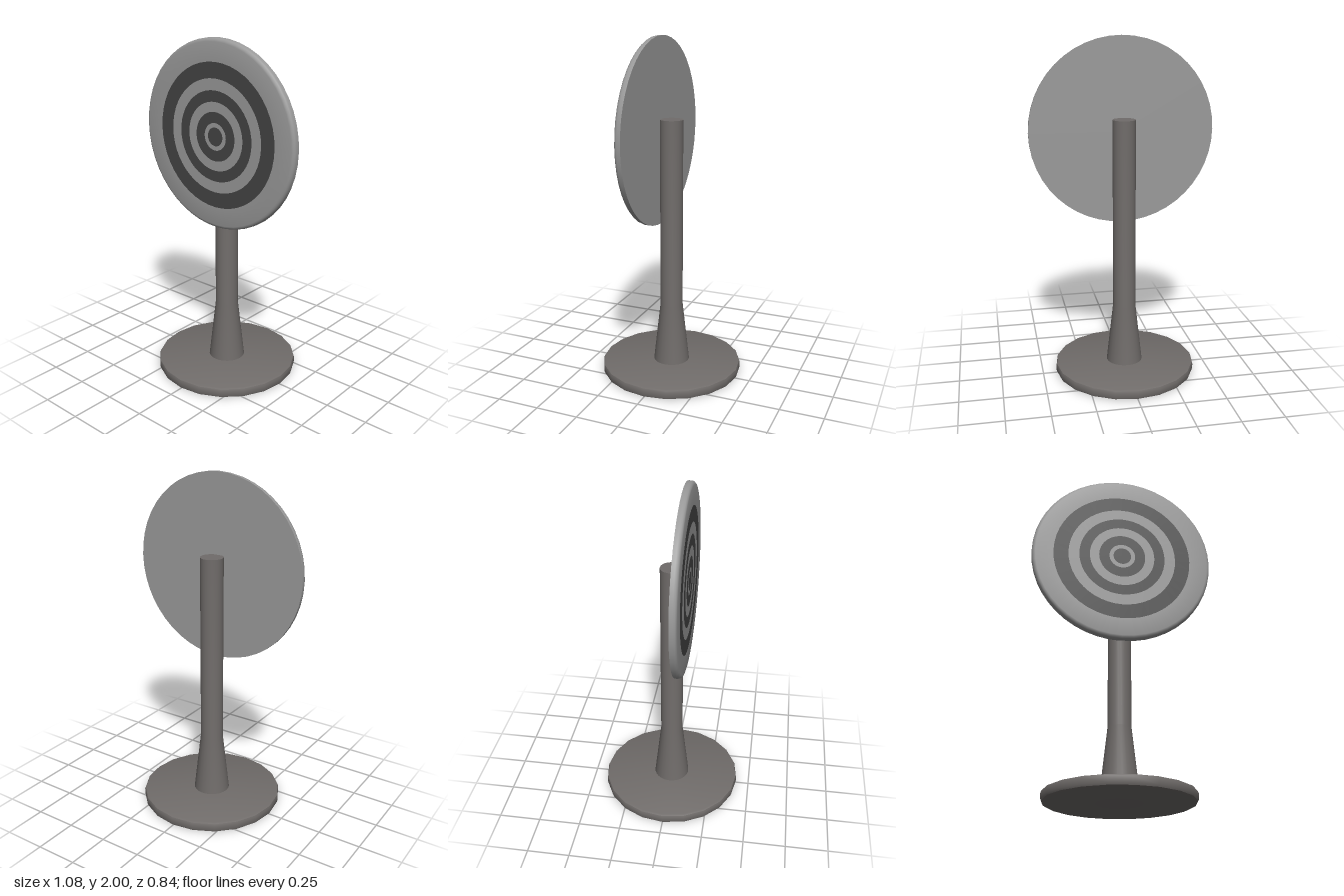
import * as THREE from 'three';
import { toCreasedNormals } from 'three/addons/utils/BufferGeometryUtils.js';

const metal = new THREE.MeshStandardMaterial({ color: 0x706c6a });
const light = new THREE.MeshStandardMaterial({ color: 0x9a9a9a });
const dark = new THREE.MeshStandardMaterial({ color: 0x444444 });

// Turned solid from [radius, height] pairs, listed bottom to top
function turned(profile, sides) {
  const points = profile.map(([r, y]) => new THREE.Vector2(r, y));
  return toCreasedNormals(new THREE.LatheGeometry(points, sides), 0.7);
}

function addMesh(parent, name, geometry, material) {
  const mesh = new THREE.Mesh(geometry, material);
  mesh.name = name;
  parent.add(mesh);
  return mesh;
}

export function createModel() {
  const model = new THREE.Group();
  model.name = 'targetStand';

  // Round foot with softened edges
  addMesh(model, 'base', turned([
    [0, 0], [0.405, 0], [0.416, 0.005], [0.42, 0.016],
    [0.42, 0.044], [0.416, 0.055], [0.405, 0.06], [0, 0.06],
  ], 20), metal);

  // Flared post with a flat top
  addMesh(model, 'post', turned([
    [0.108, 0.055], [0.067, 0.42], [0.067, 1.535], [0, 1.535],
  ], 24), metal);

  // Target disc, turned so its axis points forward
  const target = new THREE.Group();
  target.name = 'target';
  target.position.set(0, 1.46, 0.06);
  model.add(target);

  const depth = 0.04;
  const radii = [0, 0.053, 0.078, 0.14, 0.196, 0.259, 0.324, 0.413];
  const sides = 48;
  const disc = turned([
    [0, 0], [0.54, 0], [0.54, 0.02], [0.537, 0.03],
    [0.53, 0.037], [0.52, depth], [radii[radii.length - 1], depth],
  ], sides);
  disc.rotateX(Math.PI / 2);
  addMesh(target, 'targetDisc', disc, light);

  // Alternating rings on the front, dark at the centre
  for (let i = 0; i < radii.length - 1; i++) {
    const geometry = i === 0
      ? new THREE.CircleGeometry(radii[1], sides)
      : new THREE.RingGeometry(radii[i], radii[i + 1], sides);
    const ring = addMesh(target, i === 0 ? 'bullseye' : `ring${i}`, geometry, i % 2 ? light : dark);
    ring.position.z = depth;
  }

  return model;
}
